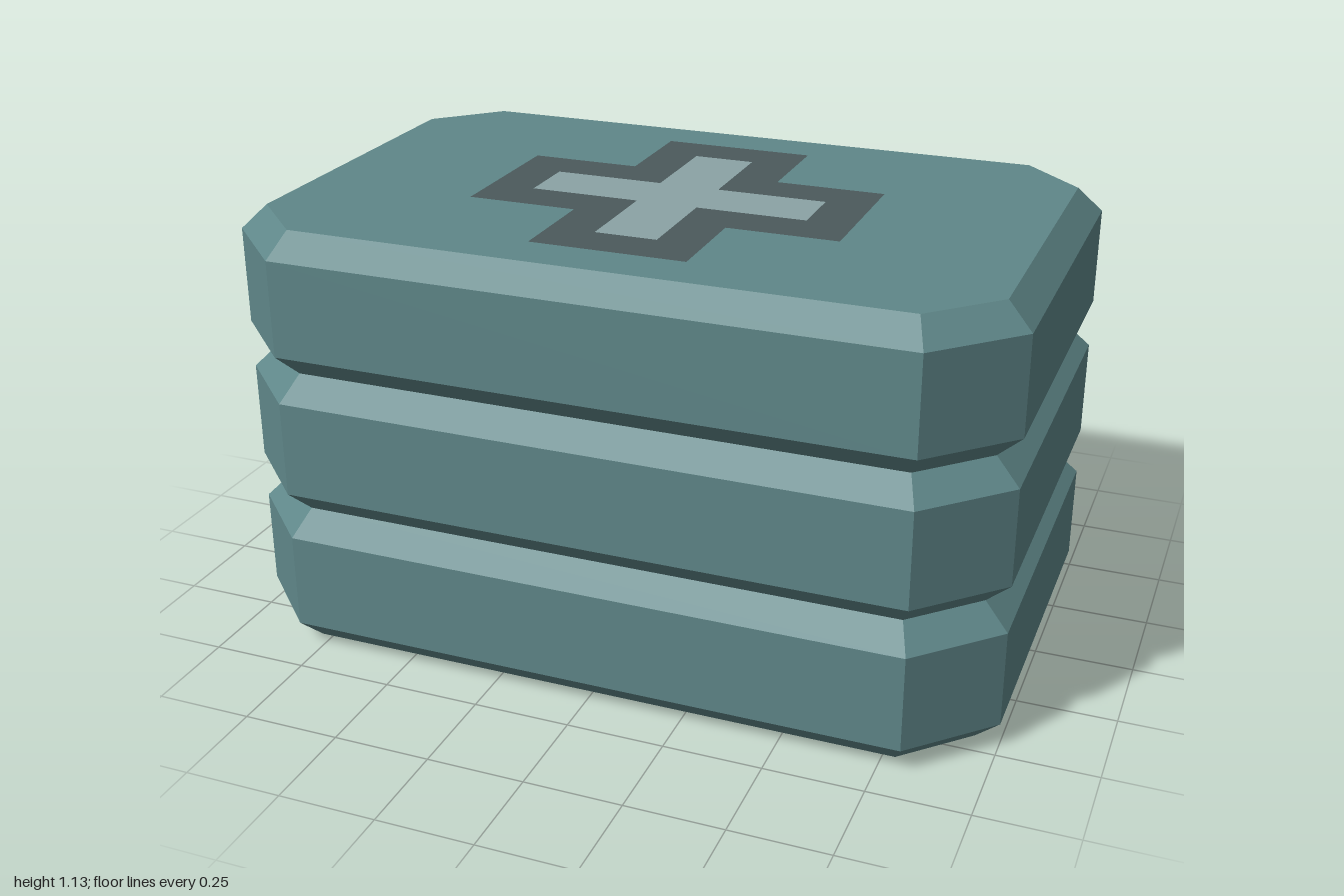
import * as THREE from 'three';

const LAYERS = 3;
const LAYER_HEIGHT = 0.375;
const BEVEL = 0.0625;

// Rectangle with cut corners
function octagon(hx, hz, cut) {
  return new THREE.Shape([
    [hx, -hz + cut], [hx, hz - cut], [hx - cut, hz], [-hx + cut, hz],
    [-hx, hz - cut], [-hx, -hz + cut], [-hx + cut, -hz], [hx - cut, -hz],
  ].map(([x, y]) => new THREE.Vector2(x, y)));
}

// Plus outline: arm reach along x and z, and half width of the arms
function plus(rx, rz, w) {
  return new THREE.Shape([
    [rx, -w], [rx, w], [w, w], [w, rz], [-w, rz], [-w, w],
    [-rx, w], [-rx, -w], [-w, -w], [-w, -rz], [w, -rz], [w, -w],
  ].map(([x, y]) => new THREE.Vector2(x, y)));
}

export function createModel() {
  const model = new THREE.Group();
  model.name = 'stackedCase';

  const shell = new THREE.MeshStandardMaterial({ color: 0x5f8789, flatShading: true });
  const dark = new THREE.MeshStandardMaterial({ color: 0x4b5a5c });
  const light = new THREE.MeshStandardMaterial({ color: 0x8ba3a5 });

  const add = (name, geometry, material, y) => {
    const mesh = new THREE.Mesh(geometry, material);
    mesh.name = name;
    mesh.position.y = y;
    model.add(mesh);
  };

  // Three identical slabs, bevelled above and below
  const slab = new THREE.ExtrudeGeometry(octagon(1 - BEVEL, 0.655 - BEVEL, 0.157), {
    depth: LAYER_HEIGHT - 2 * BEVEL,
    bevelThickness: BEVEL,
    bevelSize: BEVEL,
    bevelSegments: 1,
  });
  slab.rotateX(-Math.PI / 2);
  for (let i = 0; i < LAYERS; i++) {
    add('slab' + (i + 1), slab, shell, i * LAYER_HEIGHT + BEVEL);
  }

  // Flat cross emblem on the lid: dark border with a light centre
  const top = LAYERS * LAYER_HEIGHT;
  const flat = (shape) => new THREE.ShapeGeometry(shape).rotateX(-Math.PI / 2);
  add('crossBorder', flat(plus(0.487, 0.465, 0.2)), dark, top + 0.001);
  add('crossCentre', flat(plus(0.367, 0.347, 0.08)), light, top + 0.002);

  return model;
}
